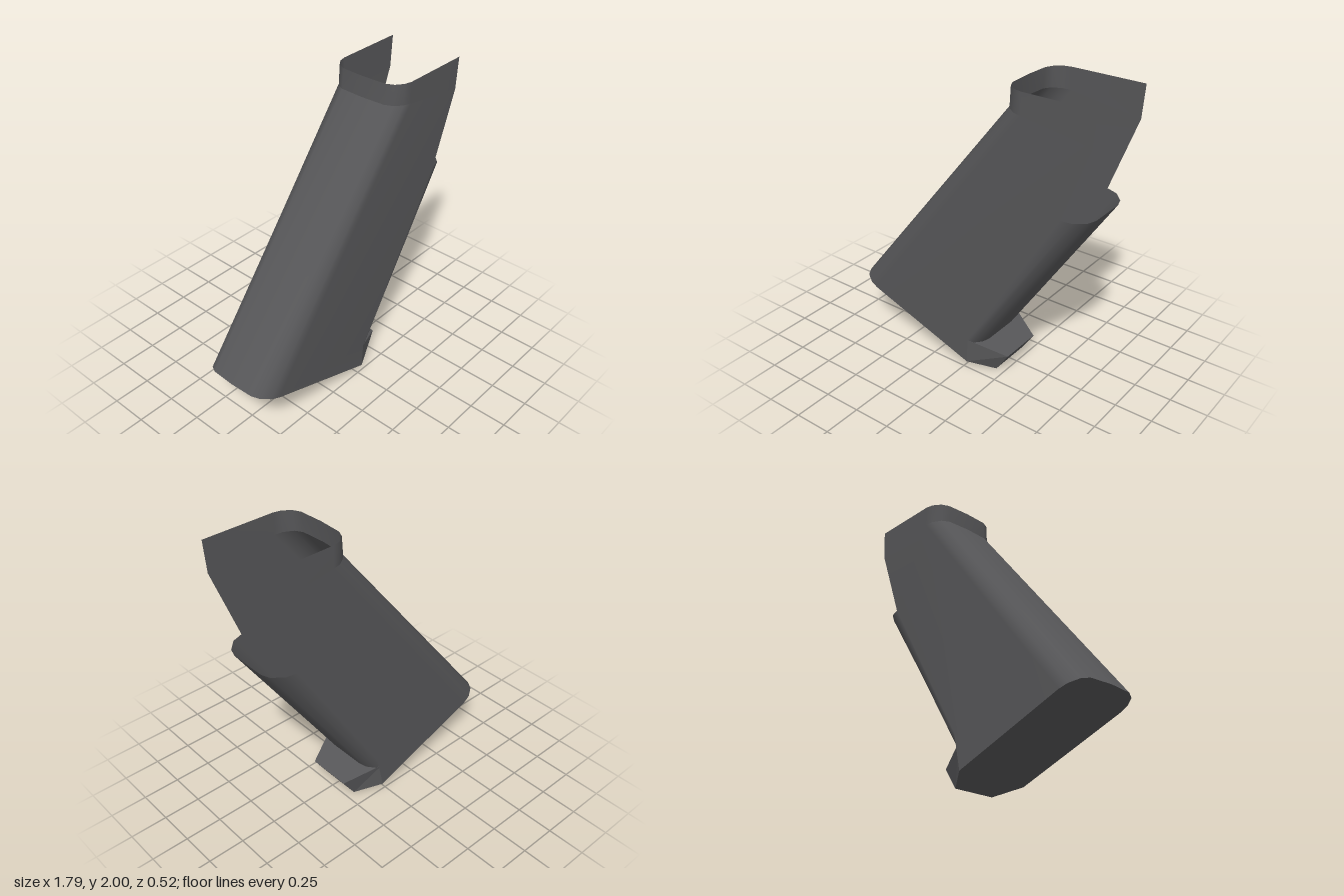
import * as THREE from 'three';
import { mergeVertices } from 'three/addons/utils/BufferGeometryUtils.js';

const W = 0.258; // half width of the grip

// Rounded edge profiles from centre line to side: [blend from side point to centre point, z]
const BACK = [[1, 0], [0.94, 0.16], [0.76, 0.21], [0.38, 0.247], [0, W]];
const FRONT = [[1, 0], [1, 0.12], [0.87, 0.18], [0.47, 0.24], [0, W]];

// Row of points across the width, from -z to +z
function row(profile, centre, side) {
  const at = ([t, z]) => [
    side[0] + (centre[0] - side[0]) * t,
    side[1] + (centre[1] - side[1]) * t, z];
  const half = profile.map(at);
  const mirrored = half.slice(1).reverse().map(([x, y, z]) => [x, y, -z]);
  return [...mirrored, ...half];
}

// Triangle fan over a polygon
function face(out, pts) {
  for (let i = 1; i < pts.length - 1; i++) out.push(...pts[0], ...pts[i], ...pts[i + 1]);
}

// Wall between a lower and an upper row
function strip(out, low, high) {
  for (let i = 0; i < low.length - 1; i++) face(out, [low[i], low[i + 1], high[i + 1], high[i]]);
}

// The same flat outline on the left and right side
function sides(out, outline) {
  face(out, outline.map(([x, y]) => [x, y, W]));
  face(out, outline.map(([x, y]) => [x, y, -W]).reverse());
}

function makeMesh(name, positions, material, smooth) {
  let geo = new THREE.BufferGeometry();
  geo.setAttribute('position', new THREE.Float32BufferAttribute(positions, 3));
  if (smooth) geo = mergeVertices(geo, 1e-4);
  geo.computeVertexNormals();
  const mesh = new THREE.Mesh(geo, material);
  mesh.name = name;
  return mesh;
}

export function createModel() {
  const group = new THREE.Group();
  group.name = 'hollowGrip';
  const grey = new THREE.MeshStandardMaterial({ color: 0x565658, side: THREE.DoubleSide });
  grey.name = 'dark grey';

  // Points on the side outline
  const heel = [-0.75, 0.332], toeLow = [0.03, 0.055], toeHigh = [0.04, 0.227];
  const lip = [0.70, 1.31], kink = [0.88, 1.79], bend = [0.42, 1.86];
  const topFront = [0.895, 2], topBack = [0.42, 2];

  const backLow = row(BACK, [-0.9, 0.385], heel);
  const backBend = row(BACK, [0.28, 1.87], bend);
  const backTop = row(BACK, [0.29, 2], topBack);

  // Main slanted shell with rounded back and front
  const shell = [];
  strip(shell, backLow, backBend);
  strip(shell, row(FRONT, [0.115, 0.197], toeHigh).reverse(), row(FRONT, [0.85, 1.30], lip).reverse());
  sides(shell, [heel, toeLow, toeHigh, lip, kink, bend]);
  group.add(makeMesh('gripShell', shell, grey, true));

  // Upright collar, open at the top and front
  const collar = [];
  strip(collar, backBend, backTop);
  sides(collar, [bend, kink, topFront, topBack]);
  group.add(makeMesh('topCollar', collar, grey, true));

  // Flat base
  const base = [];
  face(base, [...backLow.slice().reverse(), [...toeLow, -W], [...toeLow, W]]);
  group.add(makeMesh('basePlate', base, grey, false));

  // Tapered toe at the front of the base
  const toe = [];
  const [a, b, c, d] = [[...toeLow, W], [0.19, 0.003, 0.147], [0.28, 0.137, 0.147], [...toeHigh, W]];
  const m = ([x, y, z]) => [x, y, -z];
  face(toe, [a, b, c, d]);
  face(toe, [m(d), m(c), m(b), m(a)]);
  face(toe, [b, m(b), m(c), c]);
  face(toe, [d, c, m(c), m(d)]);
  face(toe, [a, m(a), m(b), b]);
  group.add(makeMesh('toe', toe, grey, false));

  return group;
}
